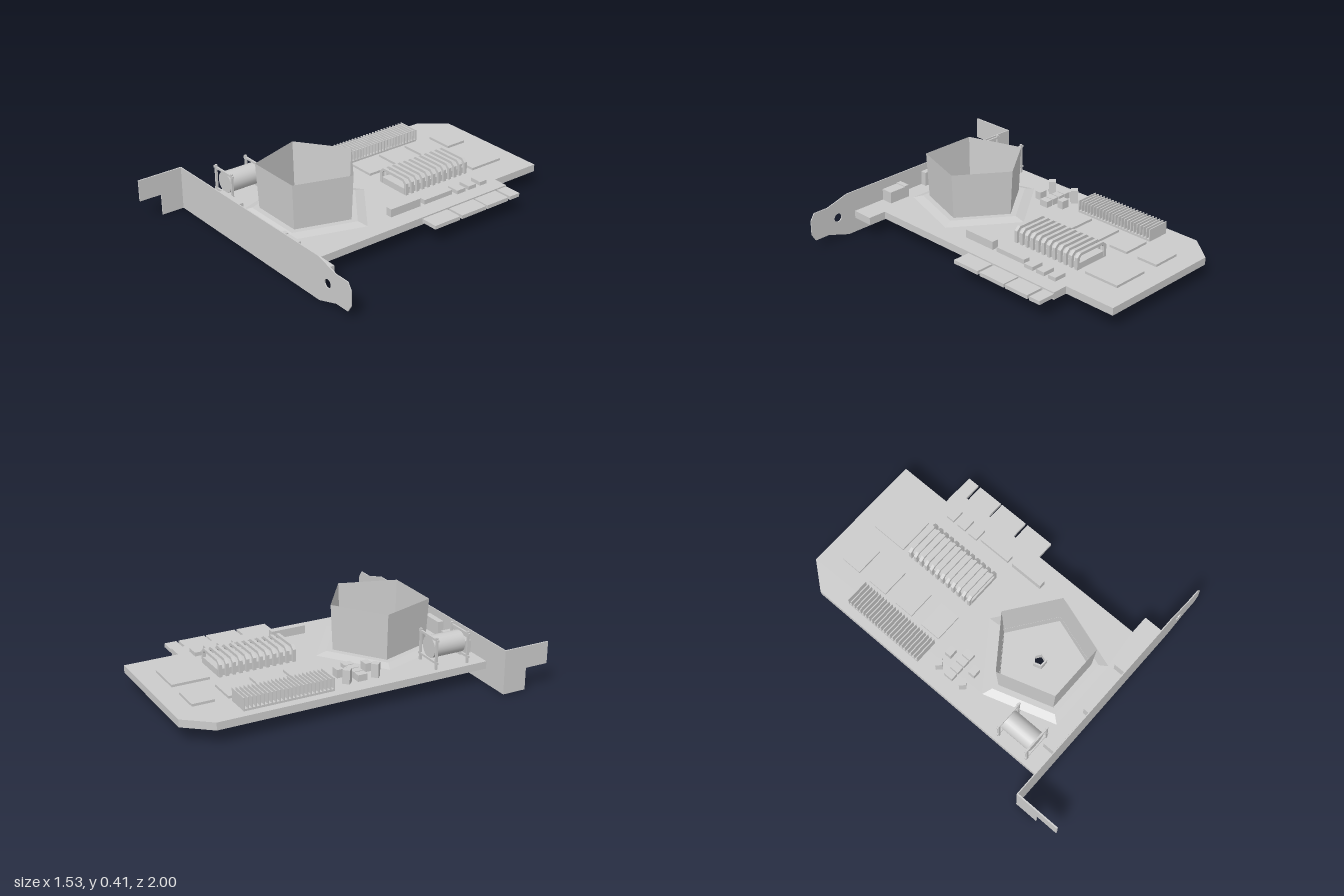
import * as THREE from 'three';

const TOP = 0.128, BOTTOM = 0.085;
const mat = new THREE.MeshStandardMaterial({ color: 0xcccccc, side: THREE.DoubleSide });

export function createModel() {
  const root = new THREE.Group();

  const add = (name, geo, parent = root) => {
    const m = new THREE.Mesh(geo, mat);
    m.name = name;
    parent.add(m);
    return m;
  };
  const group = (name) => {
    const g = new THREE.Group();
    g.name = name;
    root.add(g);
    return g;
  };
  // Box given by its limits on each axis
  const box = (name, x0, x1, y0, y1, z0, z1, parent) => {
    const m = add(name, new THREE.BoxGeometry(x1 - x0, y1 - y0, z1 - z0), parent);
    m.position.set((x0 + x1) / 2, (y0 + y1) / 2, (z0 + z1) / 2);
    return m;
  };
  // Flat-faced surface through closed [x, z] rings at given heights, lowest first
  const loft = (name, rings, parent) => {
    const pos = [];
    for (let r = 0; r + 1 < rings.length; r++) {
      const [A, ya] = rings[r], [B, yb] = rings[r + 1];
      A.forEach((p, i) => {
        const j = (i + 1) % A.length;
        const a = [p[0], ya, p[1]], b = [A[j][0], ya, A[j][1]];
        const c = [B[j][0], yb, B[j][1]], d = [B[i][0], yb, B[i][1]];
        pos.push(...a, ...b, ...c, ...a, ...c, ...d);
      });
    }
    const g = new THREE.BufferGeometry();
    g.setAttribute('position', new THREE.Float32BufferAttribute(pos, 3));
    g.computeVertexNormals();
    return add(name, g, parent);
  };
  // Horizontal sheet from an [x, z] outline
  const sheet = (name, outline, y, hole, parent) => {
    const v = (pts) => pts.map(([x, z]) => new THREE.Vector2(x, -z));
    const s = new THREE.Shape(v(outline));
    if (hole) s.holes.push(new THREE.Path(v(hole)));
    const m = add(name, new THREE.ShapeGeometry(s).rotateX(-Math.PI / 2), parent);
    m.position.y = y;
    return m;
  };
  const pentagon = (r, cz = 0.333) => Array.from({ length: 5 }, (_, i) => {
    const t = -i * Math.PI * 2 / 5;
    return [-0.105 + r * Math.sin(t), cz - r * Math.cos(t)];
  });

  // Circuit board: top sheet with a skirt, open underneath
  const board = group('circuitBoard');
  const outline = [[-0.6, 0.727], [0.46, 0.727], [0.46, 0.6], [0.35, 0.6], [0.35, -0.69],
    [0.26, -0.69], [0.26, -1], [-0.48, -1], [-0.6, -0.85]];
  sheet('boardTop', outline, TOP, pentagon(0.368, 0.328), board);
  loft('boardSkirt', [[outline, BOTTOM], [outline, TOP]], board);

  // Edge connector fingers, also open underneath
  const fingers = group('edgeFingers');
  for (const [z0, z1] of [[-0.69, -0.62], [-0.605, -0.45], [-0.44, -0.265], [-0.25, -0.075]]) {
    const f = [[0.35, z1], [0.455, z1], [0.455, z0], [0.35, z0]];
    sheet('fingerTop', f, 0.12, null, fingers);
    loft('fingerSkirt', [[f, 0.098], [f, 0.12]], fingers);
  }

  // Mounting bracket with a screw hole and a bent, stepped foot
  const bracket = group('bracket');
  const plate = new THREE.Shape([[-0.765, 0], [0.51, 0], [0.65, 0.045], [0.74, 0.045], [0.765, 0.085],
    [0.765, 0.17], [0.74, 0.21], [0.65, 0.21], [0.51, 0.25], [-0.765, 0.25]]
    .map((p) => new THREE.Vector2(...p)));
  plate.holes.push(new THREE.Path().absarc(0.58, 0.127, 0.025, 0, Math.PI * 2, true));
  add('bracketPlate', new THREE.ExtrudeGeometry(plate, { depth: 0.006, bevelEnabled: false }), bracket)
    .position.z = 0.727;
  box('footTop', -0.765, -0.757, 0.125, 0.25, 0.733, 1, bracket);
  box('footBottom', -0.765, -0.757, 0, 0.125, 0.733, 0.865, bracket);

  // Five-sided fan housing with sloped flange, floor and hub
  const fan = group('fanHousing');
  loft('fanFlange', [[pentagon(0.368, 0.328), TOP], [pentagon(0.31), 0.143], [pentagon(0.27), 0.1431]], fan);
  loft('fanWall', [[pentagon(0.268), 0.083], [pentagon(0.271), 0.143], [pentagon(0.285), 0.405]], fan);
  sheet('fanFloor', pentagon(0.268), 0.083, pentagon(0.03, 0.32), fan);
  loft('fanHub', [[pentagon(0.042, 0.32), 0.083], [pentagon(0.042, 0.32), 0.13],
    [pentagon(0.03, 0.32), 0.1301]], fan);
  loft('fanHubBore', [[pentagon(0.03, 0.32), 0.083], [pentagon(0.03, 0.32), 0.13]], fan);

  // Chips, sockets and connectors: x0, x1, z0, z1, top
  const parts = {
    memoryChip: [[-0.885, -0.76], [-0.685, -0.565], [-0.49, -0.37], [-0.295, -0.17]]
      .map(([a, b]) => [-0.38, -0.215, a, b, 0.142]),
    mainChip: [[-0.12, 0.095, -0.885, -0.67, 0.142]],
    smallChip: [[-0.62, -0.57], [-0.54, -0.485], [-0.46, -0.4]].map(([a, b]) => [0.19, 0.265, a, b, 0.15]),
    socket: [[0.205, 0.245, -0.38, -0.18, 0.155], [0.205, 0.245, -0.15, 0.055, 0.175]],
    resistor: [0, 1, 2, 3].map((i) => [-0.51 + i * 0.048, -0.468 + i * 0.048, -0.01, 0.045, 0.165]),
    capacitor: [[-0.42, -0.37, -0.085, -0.045, 0.175], [-0.42, -0.37, 0.085, 0.125, 0.175]],
    port: [[-0.46, -0.27, 0.65, 0.72, 0.2], [-0.18, -0.04, 0.69, 0.725, 0.21],
      [0.12, 0.15, 0.655, 0.725, 0.2], [0.15, 0.255, 0.655, 0.725, 0.195]],
  };
  for (const [name, list] of Object.entries(parts)) {
    const g = group(name + 's');
    for (const [x0, x1, z0, z1, top] of list) box(name, x0, x1, TOP, top, z0, z1, g);
  }

  // Two posts set at 45 degrees
  for (const z of [-0.065, 0.105]) {
    box('diamondPost', -0.51, -0.47, TOP, 0.205, z - 0.02, z + 0.02).rotation.y = Math.PI / 4;
  }

  // Heat sink with thin fins
  const sink = group('finHeatSink');
  box('finBase', -0.55, -0.41, TOP, 0.14, -0.68, -0.17, sink);
  for (let i = 0; i < 24; i++) {
    const z = -0.68 + i * 0.022;
    box('fin', -0.55, -0.41, 0.14, 0.2, z, z + 0.006, sink);
  }

  // Row of arched bars over a low block
  const arches = group('archedHeatSink');
  box('archBase', -0.105, 0.085, TOP, 0.165, -0.62, -0.17, arches);
  const outer = [[-0.125, 0], [-0.125, 0.07], [-0.1, 0.092], [0.075, 0.092], [0.1, 0.07], [0.1, 0]];
  const inner = [[0.082, 0], [0.082, 0.062], [0.068, 0.076], [-0.093, 0.076], [-0.107, 0.062], [-0.107, 0]];
  const arch = new THREE.ExtrudeGeometry(
    new THREE.Shape([...outer, ...inner].map((p) => new THREE.Vector2(...p))),
    { depth: 0.018, bevelEnabled: false });
  for (let i = 0; i < 12; i++) add('arch', arch, arches).position.set(0, TOP, -0.62 + i * 0.0392);

  // Wire coil held between two frames
  const coil = group('coil');
  add('coilBody', new THREE.CylinderGeometry(0.06, 0.06, 0.19, 24).rotateX(Math.PI / 2), coil)
    .position.set(-0.487, 0.228, 0.527);
  for (const z of [0.43, 0.625]) {
    for (const x of [-0.565, -0.41]) box('framePost', x - 0.006, x + 0.006, TOP, 0.308, z - 0.006, z + 0.006, coil);
    for (const y of [0.165, 0.293]) box('frameBar', -0.58, -0.395, y - 0.006, y + 0.006, z - 0.005, z + 0.005, coil);
  }

  return root;
}
